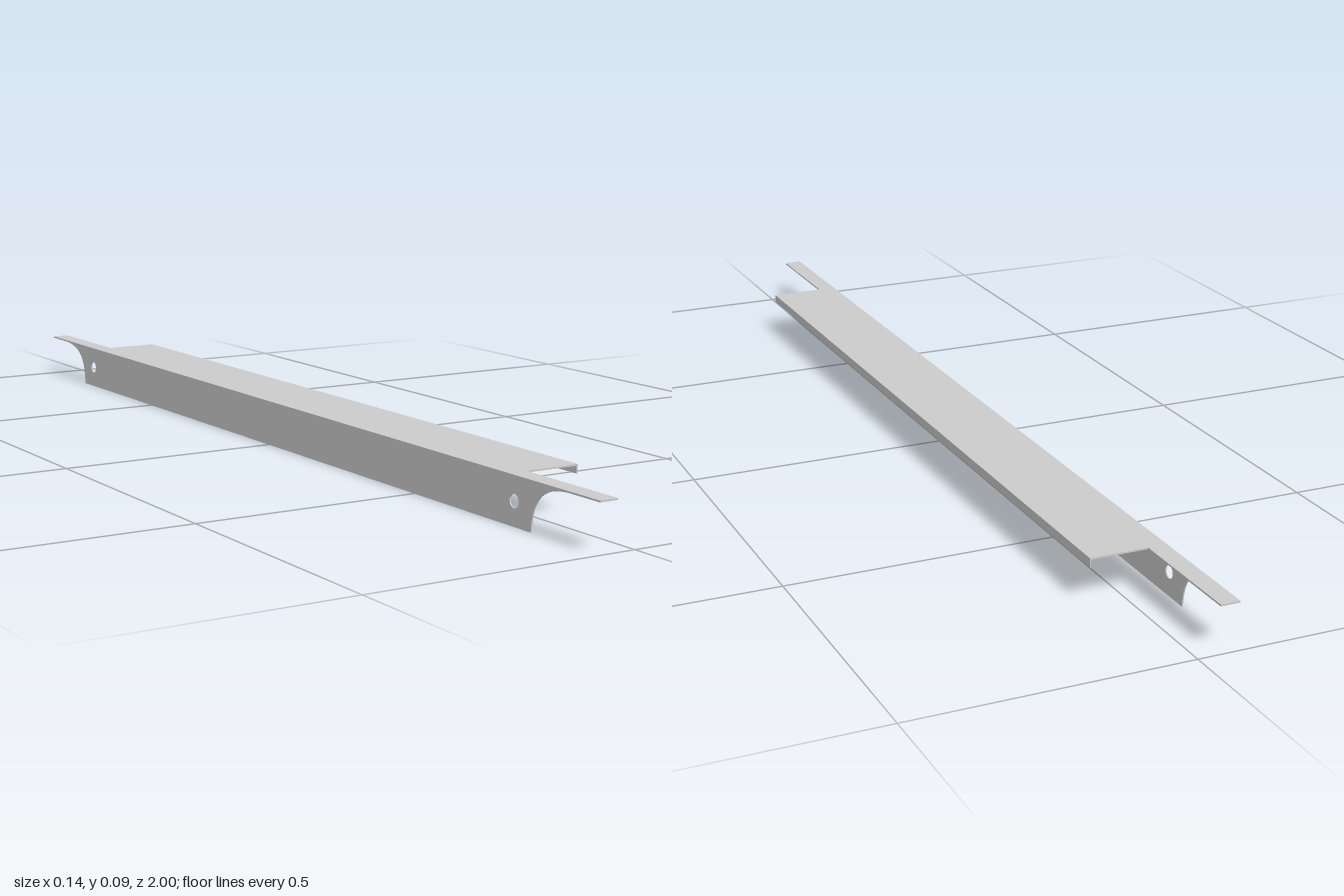
import * as THREE from 'three';

const T = 0.003;                    // sheet thickness
const TOP = 0.086, LEFT = -0.071, RIGHT = 0.07;
const TAB_X = -0.036, BODY_Z = 0.77;

export function createModel() {
  const group = new THREE.Group();
  const material = new THREE.MeshStandardMaterial({ color: 0xcccccc });
  const add = (name, geometry) => {
    const mesh = new THREE.Mesh(geometry, material);
    mesh.name = name;
    group.add(mesh);
  };

  // Top plate: wide middle with a narrow tab at each end
  const plate = new THREE.Shape([
    [LEFT, -1], [TAB_X, -1], [TAB_X, -BODY_Z], [RIGHT, -BODY_Z],
    [RIGHT, BODY_Z], [TAB_X, BODY_Z], [TAB_X, 1], [LEFT, 1],
  ].map(([x, z]) => new THREE.Vector2(x, z)));
  add('topPlate', new THREE.ExtrudeGeometry(plate, { depth: T, bevelEnabled: false })
    .rotateX(Math.PI / 2).translate(0, TOP, 0));

  // Tall side flange with concave ends and a screw hole near each end
  const h = TOP - T;
  const side = new THREE.Shape();
  side.moveTo(-0.83, 0);
  side.lineTo(0.83, 0);
  side.bezierCurveTo(0.832, 0.055, 0.855, h - 0.004, 0.92, h);
  side.lineTo(-0.92, h);
  side.bezierCurveTo(-0.855, h - 0.004, -0.832, 0.055, -0.83, 0);
  for (const s of [-1, 1]) {
    side.holes.push(new THREE.Path().absarc(s * 0.785, 0.043, 0.012, 0, Math.PI * 2, true));
  }
  add('sideFlange', new THREE.ExtrudeGeometry(side, { depth: 0.0025, bevelEnabled: false, curveSegments: 20 })
    .rotateY(-Math.PI / 2).translate(LEFT + 0.0025, 0, 0));

  // Short folded lip along the opposite edge
  const lipHeight = 0.016 - T;
  add('edgeLip', new THREE.BoxGeometry(0.0025, lipHeight, BODY_Z * 2)
    .translate(RIGHT - 0.00125, TOP - T - lipHeight / 2, 0));

  return group;
}
